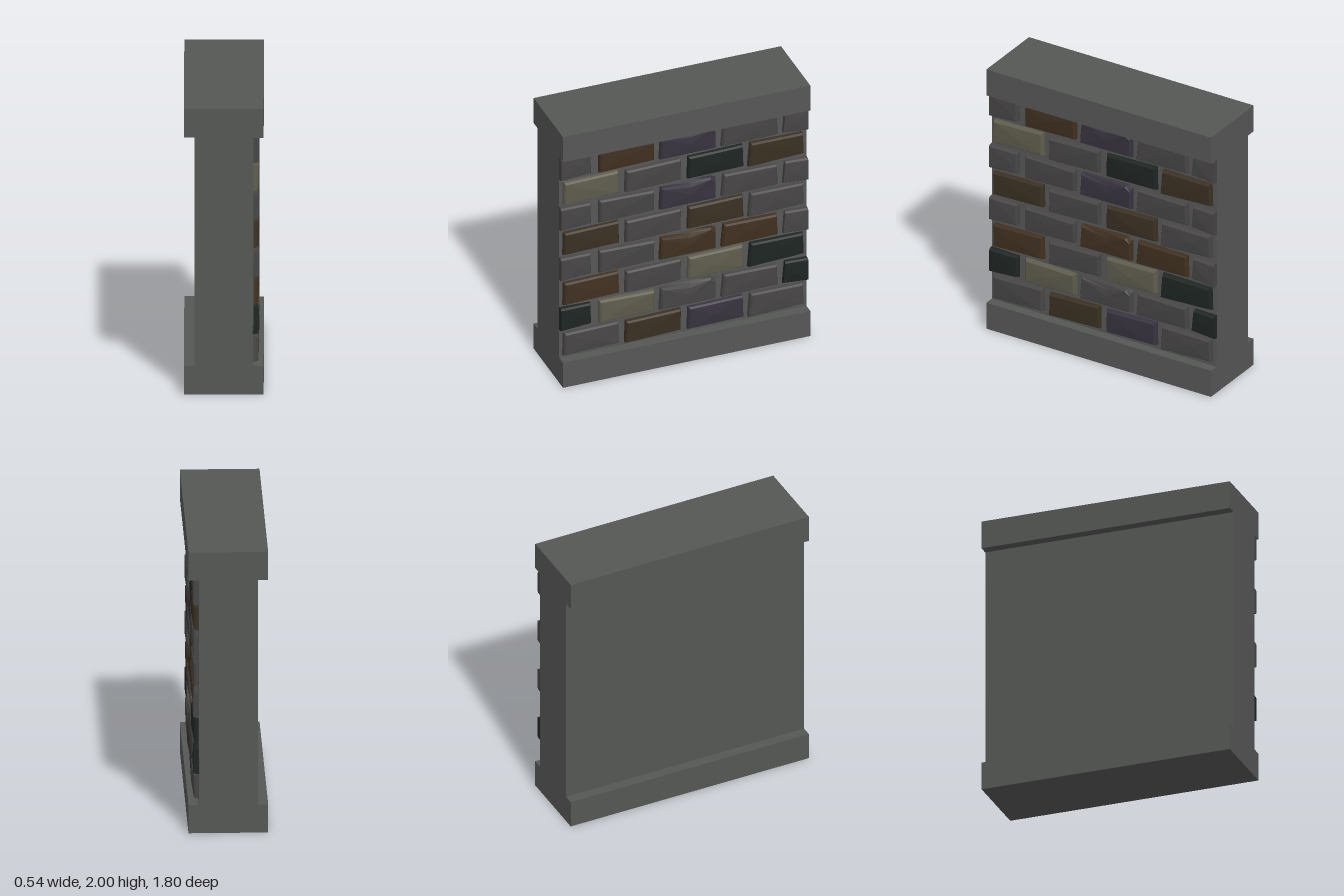
import * as THREE from 'three';

const COLORS = {
  s: 0x474546, // grey stone
  b: 0x403020, // brown
  o: 0x3a3022, // olive brown
  p: 0x38333f, // purple
  t: 0x5e5c4c, // tan
  g: 0x1e2523, // dark green
};

// Brick outlines as [z, y in course, extra dip of the face edge], clockwise seen from +x
const EVEN = [
  [[0.875, 0.2], [0.475, 0.207], [0.47, 0.035], [0.88, 0.02]],
  [[0.425, 0.195], [0.02, 0.205], [0.02, 0.03], [0.43, 0.02]],
  [[-0.03, 0.2], [-0.43, 0.21], [-0.435, 0.035], [-0.025, 0.022]],
  [[-0.48, 0.21], [-0.87, 0.205], [-0.875, 0.035], [-0.465, 0.02]],
];
const ODD = [
  [[0.9, 0.205], [0.675, 0.2], [0.675, 0.035], [0.9, 0.02]],
  [[0.62, 0.202], [0.215, 0.197], [0.215, 0.03], [0.62, 0.02]],
  [[0.17, 0.2], [-0.04, 0.203, 0.03], [-0.2, 0.205], [-0.235, 0.19, 0.015], [-0.235, 0.025], [0.18, 0.025]],
  [[-0.285, 0.205], [-0.68, 0.2], [-0.685, 0.03], [-0.27, 0.025]],
  [[-0.735, 0.205], [-0.9, 0.2], [-0.9, 0.02], [-0.72, 0.03]],
];

// Brick colours per course, bottom to top
const COURSES = ['sops', 'gtssg', 'bstg', 'ssbbs', 'osos', 'sspss', 'tsgo', 'sbpss'];

// Rough-hewn brick: base ring, shoulder ring, face ring and a raised middle
function brickGeometry(outline, seed) {
  const n = outline.length;
  const zs = outline.map((p) => p[0]);
  const cz = (Math.max(...zs) + Math.min(...zs)) / 2;
  const cy = 0.115;
  const wobble = (i) => Math.sin(seed * 2.7 + i * 4.1) * 0.004;
  const ring = (x, inset, dip, rough) => outline.map(([z, y, d = 0], i) => {
    const cut = Math.abs(z) >= 0.9 || Math.abs(z - cz) < 0.1;
    return [
      x + rough * wobble(i),
      y + Math.sign(cy - y) * (inset + d * dip),
      z + (cut ? 0 : Math.sign(cz - z) * inset),
    ];
  });
  const rings = [ring(0.195, 0, 0, 0), ring(0.222, 0.004, 0.3, 1), ring(0.235, 0.014, 1, 1)];
  const pos = [];
  const tri = (...pts) => pts.forEach((p) => pos.push(...p));
  for (let i = 0; i < n; i++) {
    const j = (i + 1) % n;
    for (let k = 0; k < 2; k++) {
      const a = rings[k], b = rings[k + 1];
      tri(a[i], b[i], b[j]);
      tri(a[i], b[j], a[j]);
    }
    tri([0.24, cy + 2 * wobble(9), cz + 10 * wobble(7)], rings[2][j], rings[2][i]);
  }
  const geo = new THREE.BufferGeometry();
  geo.setAttribute('position', new THREE.Float32BufferAttribute(pos, 3));
  geo.computeVertexNormals();
  return geo;
}

export function createModel() {
  const model = new THREE.Group();
  model.name = 'brickWall';

  // Wall core with wider plinth and coping, one I-shaped section
  const half = [[0.27, 0], [0.27, 0.2], [0.2, 0.2], [0.2, 1.8], [0.27, 1.8], [0.27, 2]];
  const section = [...half, ...half.map(([x, y]) => [-x, y]).reverse()];
  const bodyGeo = new THREE.ExtrudeGeometry(
    new THREE.Shape(section.map(([x, y]) => new THREE.Vector2(x, y))),
    { depth: 1.8, bevelEnabled: false },
  );
  bodyGeo.translate(0, 0, -0.9);
  const body = new THREE.Mesh(bodyGeo, new THREE.MeshStandardMaterial({ color: 0x555755 }));
  body.name = 'wallBody';
  model.add(body);

  // Brick facing on the +x side, laid in running bond
  const materials = {};
  for (const key in COLORS) {
    materials[key] = new THREE.MeshStandardMaterial({ color: COLORS[key], flatShading: true });
  }
  const shapes = [EVEN, ODD].map((set, s) => set.map((o, i) => brickGeometry(o, s * 5 + i)));
  COURSES.forEach((course, row) => {
    const group = new THREE.Group();
    group.name = `brickCourse${row + 1}`;
    group.position.y = 0.2 + row * 0.2;
    [...course].forEach((key, i) => {
      const brick = new THREE.Mesh(shapes[row % 2][i], materials[key]);
      brick.name = 'brick';
      group.add(brick);
    });
    model.add(group);
  });
  return model;
}
